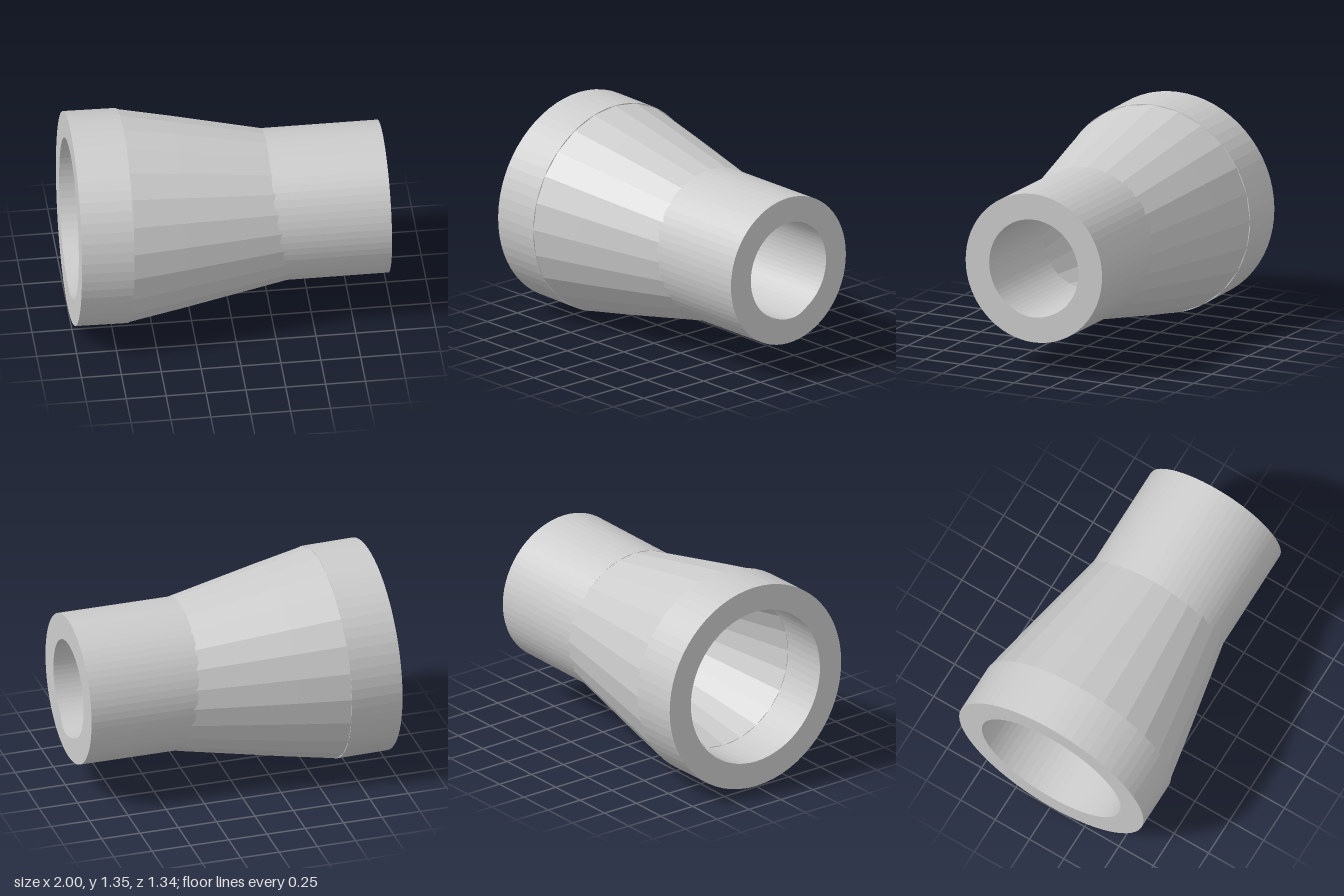
import * as THREE from 'three';

const AXIS_Y = 0.677;

// Lathe a closed [radius, axial] profile around the x axis
function turned(name, profile, sides, flat) {
  const points = profile.map(([r, x]) => new THREE.Vector2(r, x));
  let geometry = new THREE.LatheGeometry(points, sides);
  geometry.rotateZ(-Math.PI / 2);
  geometry = geometry.toNonIndexed();
  geometry.computeVertexNormals();
  const material = new THREE.MeshStandardMaterial({
    color: 0xcccccc, flatShading: flat, side: THREE.DoubleSide,
  });
  const mesh = new THREE.Mesh(geometry, material);
  mesh.name = name;
  return mesh;
}

const tube = (outer, inner, x0, x1) =>
  [[inner, x0], [outer, x0], [outer, x1], [inner, x1], [inner, x0]];

export function createModel() {
  const group = new THREE.Group();
  group.name = 'pipeReducer';
  const tilt = -0.017;

  // Wide collar, leaning very slightly off the main axis
  const collar = turned('wideCollar', tube(0.671, 0.505, -0.165, 0.165), 64, true);
  collar.position.set(-0.823, 0.677, 0);
  collar.rotation.z = tilt;
  group.add(collar);

  // Faceted, gently bulging taper that runs into the narrow pipe
  const taper = turned('taperedBody', [
    [0.505, 0], [0.67, 0], [0.607, 0.33], [0.54, 0.66], [0.477, 0.97], [0.455, 1.07],
    [0.32, 1.07], [0.32, 0.96], [0.505, 0],
  ], 24, true);
  taper.position.set(-0.66, 0.674, 0);
  taper.rotation.z = -0.011;
  group.add(taper);

  // Narrow straight pipe
  const pipe = turned('narrowPipe', tube(0.4775, 0.3125, 0.25, 0.98), 64, true);
  pipe.position.y = AXIS_Y;
  group.add(pipe);

  // Thin crescent lip peeking out at the bottom of the narrow bore
  const half = 0.54;
  const lipGeometry = new THREE.CylinderGeometry(0.311, 0.311, 1, 12, 1, true, -half, half * 2);
  const p = lipGeometry.attributes.position;
  for (let i = 0; i < p.count; i++) {
    const side = p.getX(i);
    const reach = 0.02 * (1 - (side / 0.16) ** 2);
    const x = p.getY(i) > 0 ? 0.98 + Math.max(0, reach) : 0.94;
    p.setXYZ(i, x, AXIS_Y - p.getZ(i), side);
  }
  lipGeometry.computeVertexNormals();
  const lip = new THREE.Mesh(lipGeometry, new THREE.MeshStandardMaterial({
    color: 0xcccccc, side: THREE.DoubleSide,
  }));
  lip.name = 'boreLip';
  group.add(lip);

  return group;
}
